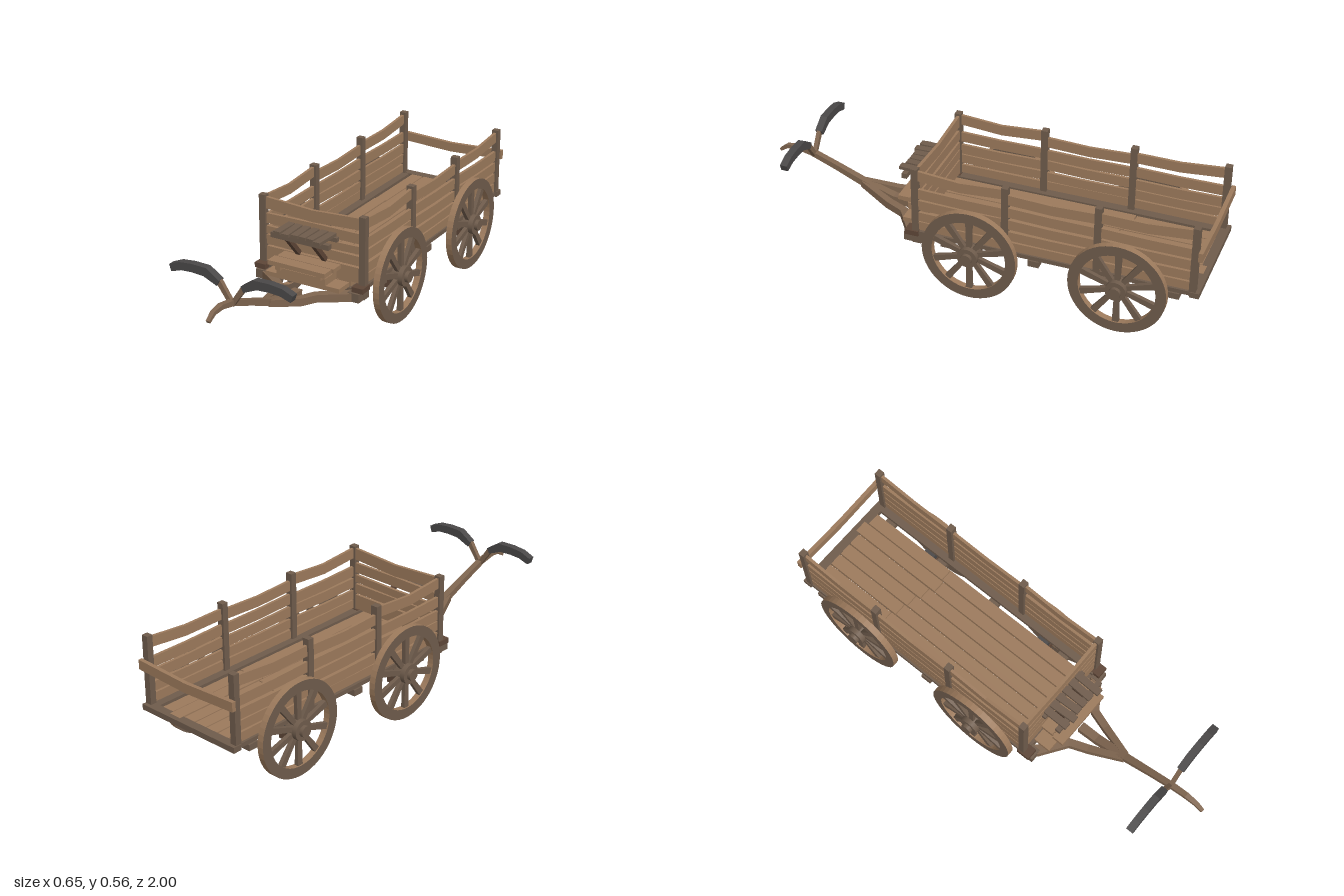
import * as THREE from 'three';

const mat = (name, color) => Object.assign(new THREE.MeshStandardMaterial({ color }), { name });

export function createModel() {
  const plank = mat('light plank wood', 0x9c7a5c);
  const frame = mat('weathered frame wood', 0x6f5c4c);
  const poleWood = mat('pole wood', 0x806650);
  const dark = mat('dark brown wood', 0x5e4637);
  const iron = mat('dark iron', 0x4a4848);

  const wagon = new THREE.Group();
  wagon.name = 'wagon';
  let seed = 7;
  const jitter = (a) => {
    seed = (seed * 16807) % 2147483647;
    return (seed / 2147483647 - 0.5) * 2 * a;
  };
  const add = (name, geo, material, parent = wagon) => {
    const m = new THREE.Mesh(geo, material);
    m.name = name;
    parent.add(m);
    return m;
  };
  // box given by its limits on each axis
  const box = (name, material, x0, x1, y0, y1, z0, z1, parent = wagon) => {
    const m = add(name, new THREE.BoxGeometry(x1 - x0, y1 - y0, z1 - z0), material, parent);
    m.position.set((x0 + x1) / 2, (y0 + y1) / 2, (z0 + z1) / 2);
    return m;
  };
  // plate with an outline, centred on its thickness
  const plate = (name, pts, depth, material, parent = wagon) => {
    const shape = new THREE.Shape(pts.map(([x, y]) => new THREE.Vector2(x, y)));
    const geo = new THREE.ExtrudeGeometry(shape, { depth, bevelEnabled: false });
    geo.translate(0, 0, -depth / 2);
    return add(name, geo, material, parent);
  };
  // board that bends in the middle; y0/y1 are lower edges at the ends
  const bentBoard = (name, u0, u1, y0, y1, h, sag, depth) => {
    const um = (u0 + u1) / 2, ym = (y0 + y1) / 2 - sag;
    return plate(name, [[u0, y0], [um, ym], [u1, y1], [u1, y1 + h], [um, ym + h], [u0, y0 + h]], depth, plank);
  };
  // rectangular beam swept along points [x, y, z, width, height]
  const beam = (name, pts, material, parent = wagon) => {
    const P = pts.map((p) => new THREE.Vector3(p[0], p[1], p[2]));
    const pos = [], idx = [], Y = new THREE.Vector3(0, 1, 0);
    P.forEach((p, k) => {
      const t = P[Math.min(k + 1, P.length - 1)].clone().sub(P[Math.max(k - 1, 0)]).normalize();
      const r = t.clone().cross(Y).normalize();
      const u = r.clone().cross(t);
      for (const [a, b] of [[-1, -1], [1, -1], [1, 1], [-1, 1]]) {
        const c = p.clone().addScaledVector(r, a * pts[k][3] / 2).addScaledVector(u, b * pts[k][4] / 2);
        pos.push(c.x, c.y, c.z);
      }
    });
    for (let k = 0; k < P.length - 1; k++) {
      for (let i = 0; i < 4; i++) {
        const j = (i + 1) % 4, a = k * 4, b = a + 4;
        idx.push(a + i, b + i, b + j, a + i, b + j, a + j);
      }
    }
    const e = (P.length - 1) * 4;
    idx.push(0, 1, 2, 0, 2, 3, e, e + 2, e + 1, e, e + 3, e + 2);
    const g = new THREE.BufferGeometry();
    g.setAttribute('position', new THREE.Float32BufferAttribute(pos, 3));
    g.setIndex(idx);
    const flat = g.toNonIndexed();
    flat.computeVertexNormals();
    return add(name, flat, material, parent);
  };

  // bed planks, in two lengths per row
  for (let i = 0; i < 6; i++) {
    const x = -0.188 + i * 0.063, split = -0.55 + jitter(0.05);
    const dy = jitter(0.002);
    box('bedPlank', plank, x, x + 0.057, 0.235 + dy, 0.257 + dy, split + 0.004, 0.24);
    box('bedPlank', plank, x, x + 0.057, 0.235 - dy, 0.257 - dy, -0.97 + jitter(0.02), split);
  }
  // cross beams under the bed
  for (const z of [-0.89, -0.59, -0.29, 0.1]) {
    box('crossBeam', frame, -0.262, 0.262, 0.208, 0.236, z - 0.024, z + 0.024);
  }
  box('frontBeam', frame, -0.255, 0.255, 0.195, 0.236, 0.215, 0.255);
  box('rearBeam', frame, -0.262, 0.262, 0.232, 0.257, -0.995, -0.955);

  // sides
  const posts = [0.24, -0.16, -0.56, -0.965];
  const tops = [[0.505, 0.505, 0.015], [0.478, 0.48, 0.008], [0.487, 0.505, 0.01]];
  for (const s of [-1, 1]) {
    const xs = (a, b) => (s > 0 ? [a, b] : [-b, -a]);
    box('sideSill', frame, ...xs(0.205, 0.255), 0.236, 0.255, -0.97, 0.255);
    box('sillEnd', dark, ...xs(0.212, 0.265), 0.235, 0.258, 0.225, 0.285);
    posts.forEach((z, i) => {
      const end = i === 0 || i === 3;
      box('sidePost', frame, ...xs(end ? 0.228 : 0.226, 0.258), 0.236, 0.56, z - 0.014, z + 0.014);
    });
    for (let b = 0; b < 3; b++) {
      const z0 = posts[b], z1 = posts[b + 1];
      const rows = [[0.258, 0.258, 0.04, 0], [0.307, 0.305, 0.042, 0.002], [0.36, 0.358, 0.045, 0.003],
        [0.416, 0.414, 0.046, 0.003], [tops[b][0], tops[b][1], 0.046, tops[b][2]]];
      for (const [ya, yb, h, sag] of rows) {
        const m = bentBoard('sideBoard', -z0, -z1, ya + jitter(0.004), yb + jitter(0.004), h, sag, 0.013);
        m.rotation.y = Math.PI / 2;
        m.position.x = s * 0.243;
      }
    }
  }

  // front wall and rear rail
  for (const [ya, yb, h, sag] of [[0.26, 0.26, 0.068, 0], [0.337, 0.337, 0.043, 0], [0.386, 0.39, 0.034, 0.003],
    [0.432, 0.436, 0.045, -0.002], [0.498, 0.498, 0.052, 0.013]]) {
    bentBoard('frontBoard', -0.23, 0.23, ya, yb, h, sag, 0.014).position.z = 0.238;
  }
  bentBoard('rearRail', -0.265, 0.265, 0.413, 0.413, 0.042, 0.012, 0.018).position.z = -0.989;

  // front step
  box('stepBase', plank, -0.18, 0.18, 0.237, 0.257, 0.25, 0.33);
  box('stepRiser', plank, -0.122, 0.115, 0.257, 0.289, 0.245, 0.335);
  for (const x of [-0.1, 0.097]) box('stepBlock', plank, x - 0.012, x + 0.012, 0.289, 0.31, 0.25, 0.36);
  box('stepBoard', plank, -0.142, 0.135, 0.31, 0.33, 0.315, 0.37);
  box('stepBoard', plank, -0.135, 0.14, 0.31, 0.328, 0.25, 0.308);

  // upper slatted shelf on slanted braces
  for (const x of [-0.065, 0.063]) {
    beam('shelfBrace', [[x, 0.335, 0.25, 0.02, 0.02], [x, 0.432, 0.335, 0.02, 0.02]], dark);
  }
  box('shelfBar', frame, -0.14, 0.14, 0.426, 0.449, 0.325, 0.348);
  box('shelfBar', frame, -0.13, 0.13, 0.43, 0.449, 0.247, 0.265);
  for (let i = 0; i < 6; i++) {
    const m = box('shelfSlat', frame, -0.117 + i * 0.04, -0.085 + i * 0.04, 0.449, 0.463, 0.235, 0.363 + jitter(0.008));
    m.rotation.y = jitter(0.06);
  }

  // wheels
  const rimShape = new THREE.Shape().absarc(0, 0, 0.21, 0, Math.PI * 2);
  rimShape.holes.push(new THREE.Path().absarc(0, 0, 0.165, 0, Math.PI * 2, true));
  const rimGeo = new THREE.ExtrudeGeometry(rimShape, { depth: 0.029, bevelEnabled: false, curveSegments: 24 });
  rimGeo.translate(0, 0, -0.0145);
  const hub = (name, r, z0, z1, material, parent) => {
    const g = new THREE.CylinderGeometry(r, r, z1 - z0, 16);
    g.rotateX(Math.PI / 2);
    g.translate(0, 0, (z0 + z1) / 2);
    add(name, g, material, parent);
  };
  for (const z of [-0.013, -0.66]) {
    box('axleBeam', iron, -0.255, 0.255, 0.193, 0.234, z - 0.026, z + 0.026);
    for (const s of [-1, 1]) {
      const wheel = new THREE.Group();
      wheel.name = 'wheel';
      add('rim', rimGeo, [frame, plank], wheel);
      hub('hub', 0.045, -0.03, 0.031, frame, wheel);
      hub('hubCap', 0.025, 0.03, 0.047, frame, wheel);
      for (let i = 0; i < 10; i++) {
        const spoke = plate('spoke', [[0.03, -0.01], [0.17, -0.014], [0.17, 0.014], [0.03, 0.01]], 0.018, frame, wheel);
        spoke.rotation.z = (i + 0.5) * Math.PI / 5;
      }
      wheel.position.set(s * 0.2765, 0.21, z);
      wheel.rotation.y = s * Math.PI / 2;
      wagon.add(wheel);
      box('bearingBlock', dark, s * 0.2275 - 0.0275, s * 0.2275 + 0.0275, 0.15, 0.194, z - 0.03, z + 0.03);
    }
  }

  // draw pole and its fork
  beam('drawPole', [[0, 0.212, 0.36, 0.04, 0.036], [0, 0.217, 0.45, 0.038, 0.034], [0, 0.268, 0.6, 0.032, 0.028],
    [0, 0.318, 0.72, 0.028, 0.025], [0, 0.364, 0.84, 0.026, 0.023], [0, 0.377, 0.91, 0.024, 0.02],
    [0, 0.371, 0.96, 0.02, 0.017], [0, 0.346, 0.995, 0.016, 0.013]], poleWood);
  for (const s of [-1, 1]) {
    beam('forkArm', [[s * 0.228, 0.214, 0.25, 0.045, 0.038], [s * 0.2, 0.214, 0.285, 0.042, 0.036],
      [s * 0.09, 0.215, 0.365, 0.036, 0.034], [s * 0.06, 0.223, 0.45, 0.032, 0.034],
      [s * 0.008, 0.264, 0.595, 0.026, 0.028]], poleWood);
    box('forkMount', frame, s * 0.225 - 0.027, s * 0.225 + 0.027, 0.196, 0.235, 0.235, 0.295);
    // handle prong and grip
    beam('handleProng', [[0, 0.352, 0.83, 0.018, 0.02], [s * 0.024, 0.388, 0.83, 0.018, 0.02],
      [s * 0.06, 0.44, 0.83, 0.018, 0.024]], poleWood);
    const grip = [[0.05, 0.447], [0.062, 0.423], [0.125, 0.45], [0.18, 0.453], [0.23, 0.45], [0.278, 0.434],
      [0.288, 0.463], [0.24, 0.483], [0.18, 0.489], [0.11, 0.487]];
    plate('handleGrip', grip.map(([x, y]) => [s * x, y]), 0.032, iron).position.z = 0.83;
  }
  return wagon;
}
